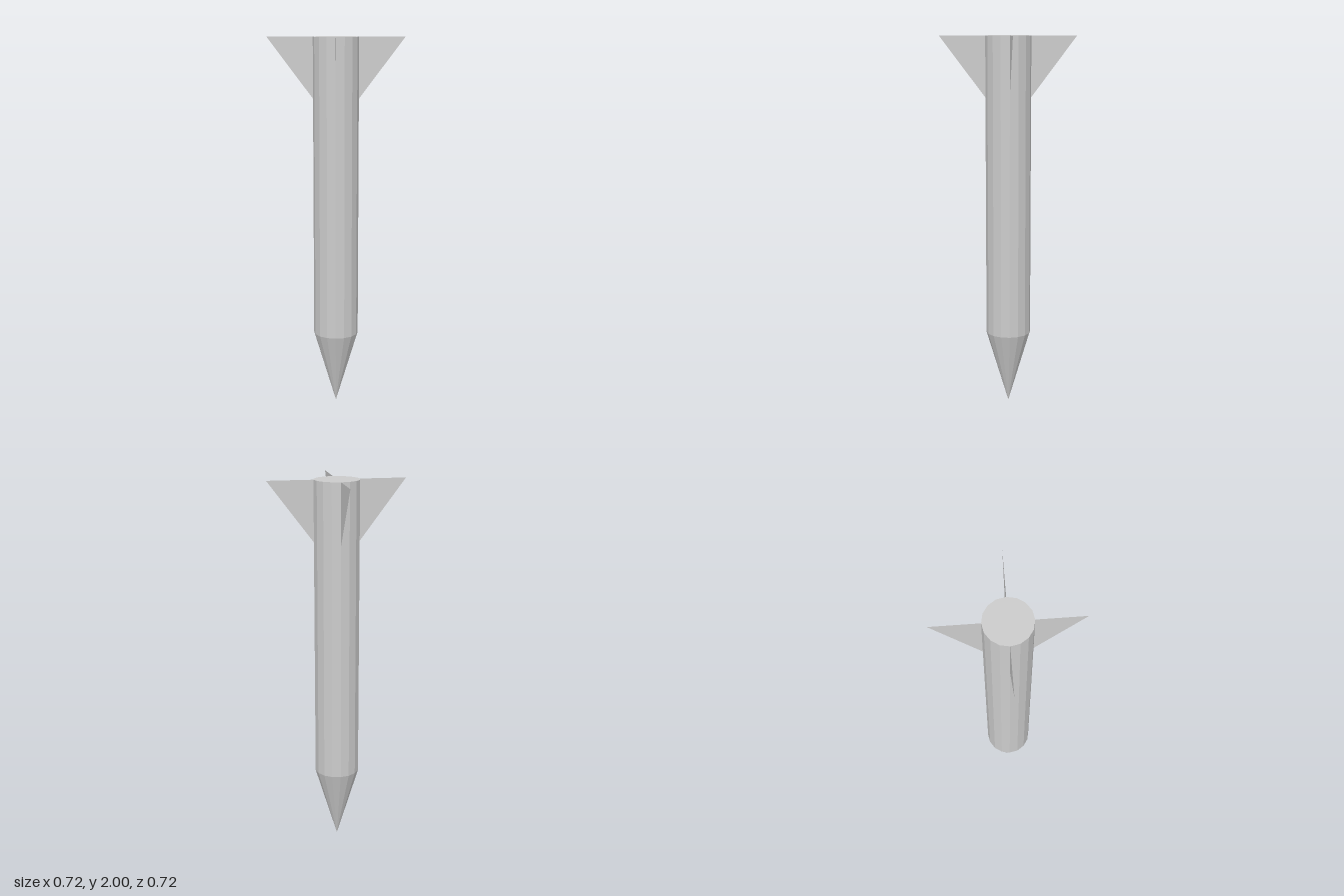
import * as THREE from 'three';

const SIDES = 16, RADIUS = 0.12, SHOULDER = 0.4, TOP = 2;
const FIN_REACH = 0.36, FIN_FOOT = 1.68;

export function createModel() {
  const model = new THREE.Group();
  model.name = 'finnedDart';
  const material = new THREE.MeshStandardMaterial({ color: 0xcccccc, flatShading: true });
  const finMaterial = new THREE.MeshStandardMaterial({ color: 0xcccccc, side: THREE.DoubleSide });

  const add = (name, geometry, mat) => {
    const mesh = new THREE.Mesh(geometry, mat);
    mesh.name = name;
    model.add(mesh);
    return mesh;
  };

  // Straight shaft, closed at the tail; its lower end is covered by the nose
  const shaft = add('shaft', new THREE.CylinderGeometry(RADIUS, RADIUS, TOP - SHOULDER, SIDES, 1, true), material);
  shaft.position.y = (TOP + SHOULDER) / 2;

  const cap = add('tailCap', new THREE.CircleGeometry(RADIUS, SIDES), material);
  cap.rotation.x = -Math.PI / 2;
  cap.position.y = TOP;

  // Nose cone pointing down
  const nose = add('noseCone', new THREE.ConeGeometry(RADIUS, SHOULDER, SIDES, 1, true), material);
  nose.rotation.x = Math.PI;
  nose.position.y = SHOULDER / 2;

  // Four thin triangular tail fins
  const finShape = new THREE.Shape([
    new THREE.Vector2(RADIUS, FIN_FOOT),
    new THREE.Vector2(FIN_REACH, TOP),
    new THREE.Vector2(RADIUS, TOP),
  ]);
  const finGeometry = new THREE.ShapeGeometry(finShape);
  for (let i = 0; i < 4; i++) {
    add(`tailFin${i + 1}`, finGeometry, finMaterial).rotation.y = i * Math.PI / 2;
  }

  return model;
}
